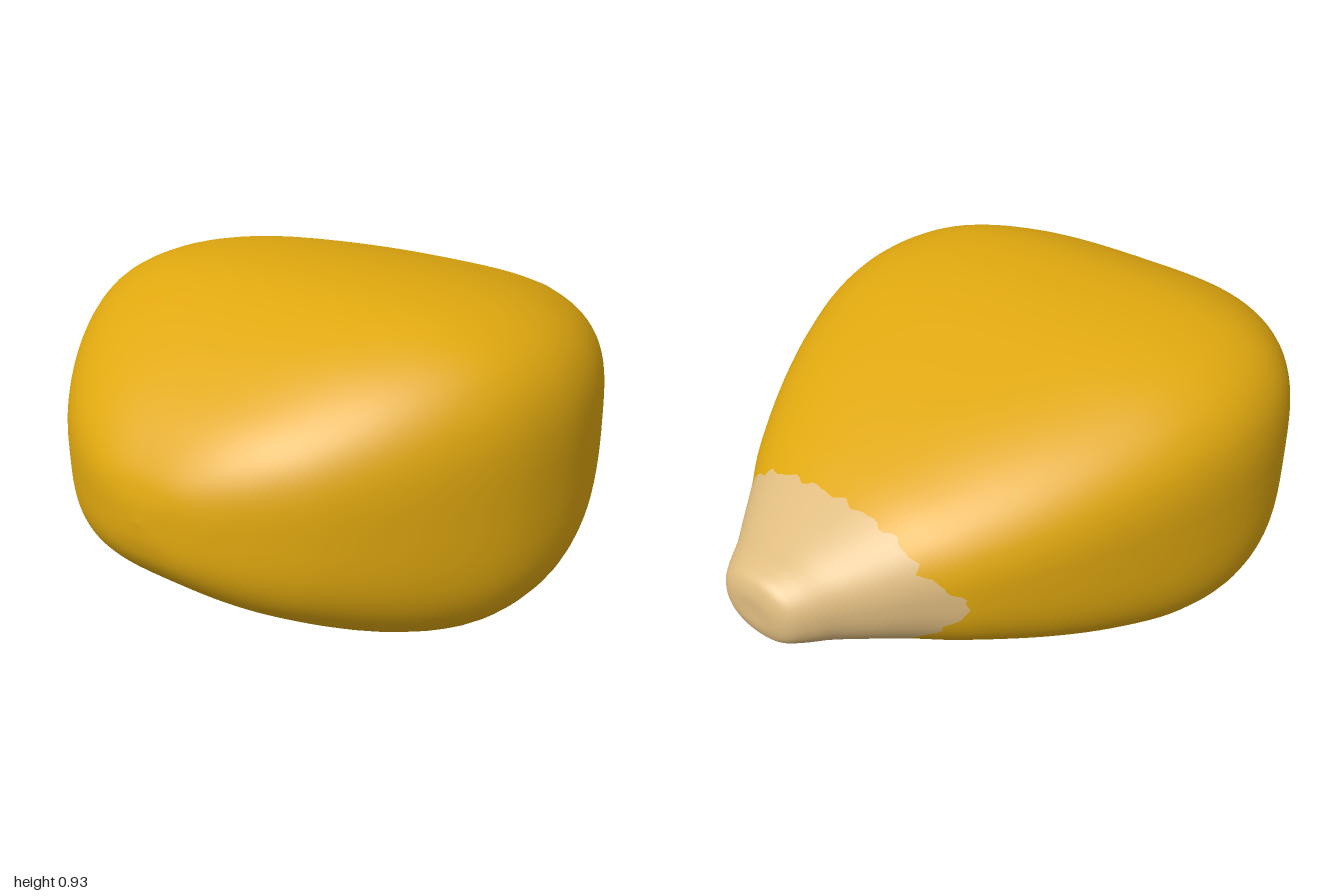
import * as THREE from 'three';

const SIDES = 128, TIP_RINGS = 36, BODY_RINGS = 64, CENTRE_Y = 0.466;

// Half width, half height and z of the cross-sections, from the tip to the crown
const sections = new THREE.CatmullRomCurve3([
  [0, 0, -1], [0.08, 0.055, -0.998], [0.125, 0.092, -0.98], [0.16, 0.112, -0.94],
  [0.2, 0.133, -0.88], [0.265, 0.165, -0.8], [0.345, 0.207, -0.7], [0.43, 0.25, -0.6],
  [0.56, 0.325, -0.4], [0.66, 0.387, -0.2], [0.73, 0.437, 0], [0.757, 0.463, 0.2],
  [0.728, 0.456, 0.4], [0.63, 0.397, 0.6], [0.465, 0.292, 0.8], [0.335, 0.215, 0.9],
  [0.19, 0.13, 0.97], [0.09, 0.065, 0.993], [0, 0, 1],
].map((p) => new THREE.Vector3(...p)));

// Curve parameter at which the sections reach a given z
function parameterAt(z) {
  let lo = 0, hi = 1;
  for (let i = 0; i < 24; i++) {
    const mid = (lo + hi) / 2;
    if (sections.getPoint(mid).z < z) lo = mid; else hi = mid;
  }
  return lo;
}

// Ragged colour border, reaching further forward in a point on each side
function borderZ(a) {
  const point = Math.max(0, 1 - Math.abs(0.21 * Math.sin(a) + 0.015) / 0.11);
  const ragged = 0.006 * Math.sin(a * 23) + 0.004 * Math.sin(a * 37 + 1);
  return -0.708 + 0.085 * point + ragged;
}

// Point on a rounded-rectangle section, squarer towards the middle
function surfacePoint(t, a) {
  const { x: w, y: h, z } = sections.getPoint(t);
  const n = 2.2 + 1.5 * THREE.MathUtils.smoothstep(z, -1, 0.1)
    - 0.6 * THREE.MathUtils.smoothstep(z, 0.4, 1);
  const c = Math.cos(a), s = Math.sin(a);
  const r = (Math.abs(c) ** n + Math.abs(s) ** n) ** (-1 / n);
  return [w * r * c, CENTRE_Y + h * r * s, z];
}

// Triangles between two rings, wrapping around
function ringIndices(first, last) {
  const index = [];
  for (let i = first; i < last; i++) {
    for (let j = 0; j < SIDES; j++) {
      const k = (j + 1) % SIDES;
      const a = i * SIDES + j, b = i * SIDES + k;
      const c = b + SIDES, d = a + SIDES;
      index.push(a, b, c, a, c, d);
    }
  }
  return index;
}

export function createModel() {
  const rings = TIP_RINGS + BODY_RINGS;
  const borders = Array.from({ length: SIDES }, (_, j) =>
    parameterAt(borderZ((j / SIDES) * Math.PI * 2)));

  // One skin of rings; ring TIP_RINGS follows the colour border
  const positions = [];
  for (let i = 0; i <= rings; i++) {
    for (let j = 0; j < SIDES; j++) {
      const t = i <= TIP_RINGS
        ? borders[j] * (i / TIP_RINGS)
        : borders[j] + (1 - borders[j]) * ((i - TIP_RINGS) / BODY_RINGS);
      positions.push(...surfacePoint(t, (j / SIDES) * Math.PI * 2));
    }
  }
  const skin = new THREE.BufferGeometry();
  skin.setAttribute('position', new THREE.Float32BufferAttribute(positions, 3));
  skin.setIndex(ringIndices(0, rings));
  skin.computeVertexNormals();

  const golden = new THREE.MeshStandardMaterial({ color: 0xe0a80f });
  golden.name = 'golden yellow';
  const tan = new THREE.MeshStandardMaterial({ color: 0xdfbc80 });
  tan.name = 'pale tan';

  // Both parts share the skin's vertices and normals, so the join stays smooth
  const group = new THREE.Group();
  group.name = 'kernel';
  const addPart = (name, first, last, material) => {
    const geometry = new THREE.BufferGeometry();
    geometry.setAttribute('position', skin.getAttribute('position'));
    geometry.setAttribute('normal', skin.getAttribute('normal'));
    geometry.setIndex(ringIndices(first, last));
    const mesh = new THREE.Mesh(geometry, material);
    mesh.name = name;
    group.add(mesh);
  };
  addPart('kernelTip', 0, TIP_RINGS, tan);
  addPart('kernelBody', TIP_RINGS, rings, golden);
  return group;
}
